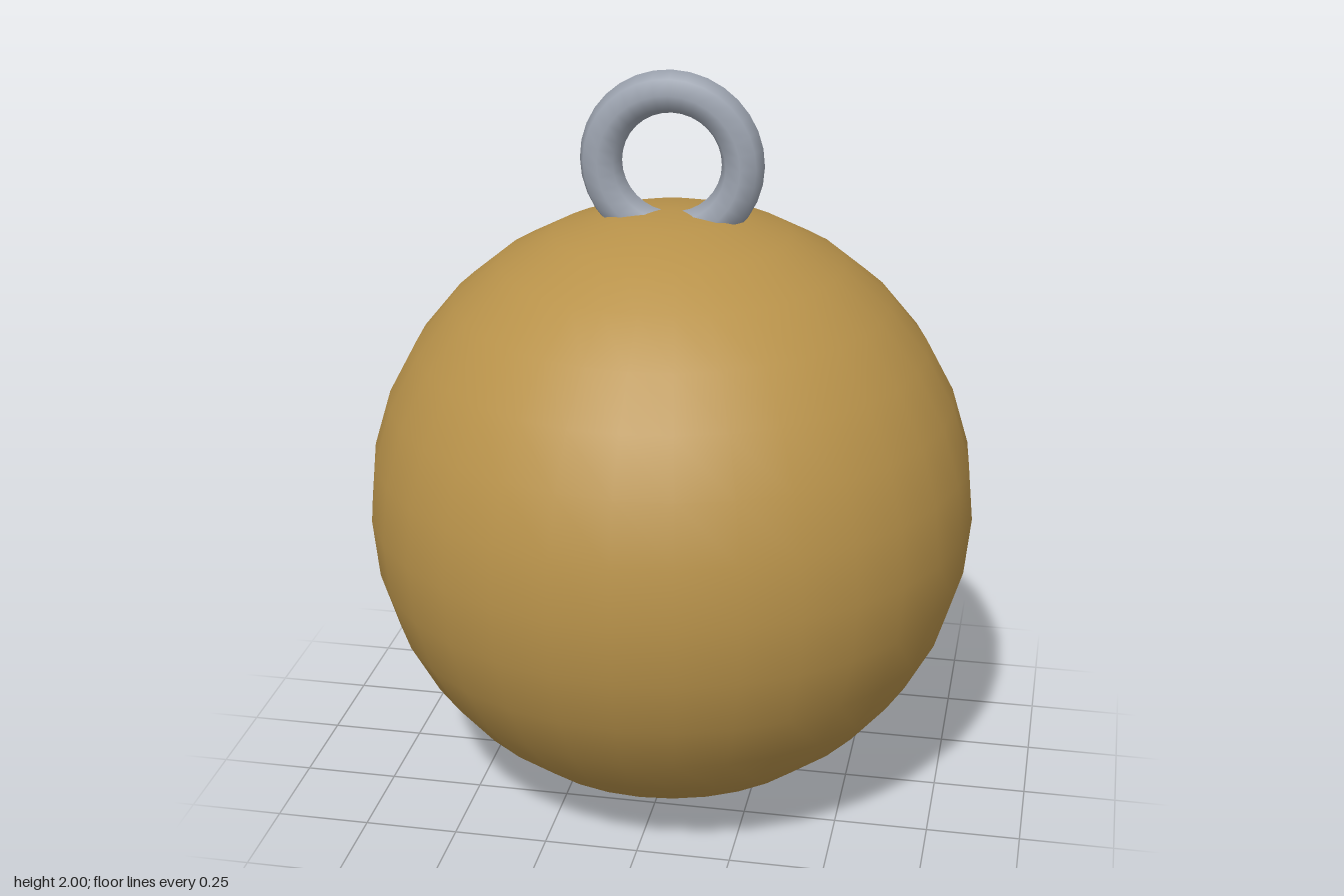
import * as THREE from 'three';

export function createModel() {
  const group = new THREE.Group();

  const add = (name, geometry, color, y) => {
    const mesh = new THREE.Mesh(geometry, new THREE.MeshStandardMaterial({ color }));
    mesh.name = name;
    mesh.position.y = y;
    group.add(mesh);
  };

  // Round body, its poles on the vertical axis
  add('ball', new THREE.SphereGeometry(0.816, 32, 16), 0xb8924a, 0.816);

  // Upright hanging ring, its lower part sunk into the ball
  add('hangingRing', new THREE.TorusGeometry(0.187, 0.056, 8, 32), 0x9ca3af, 1.757);

  return group;
}
